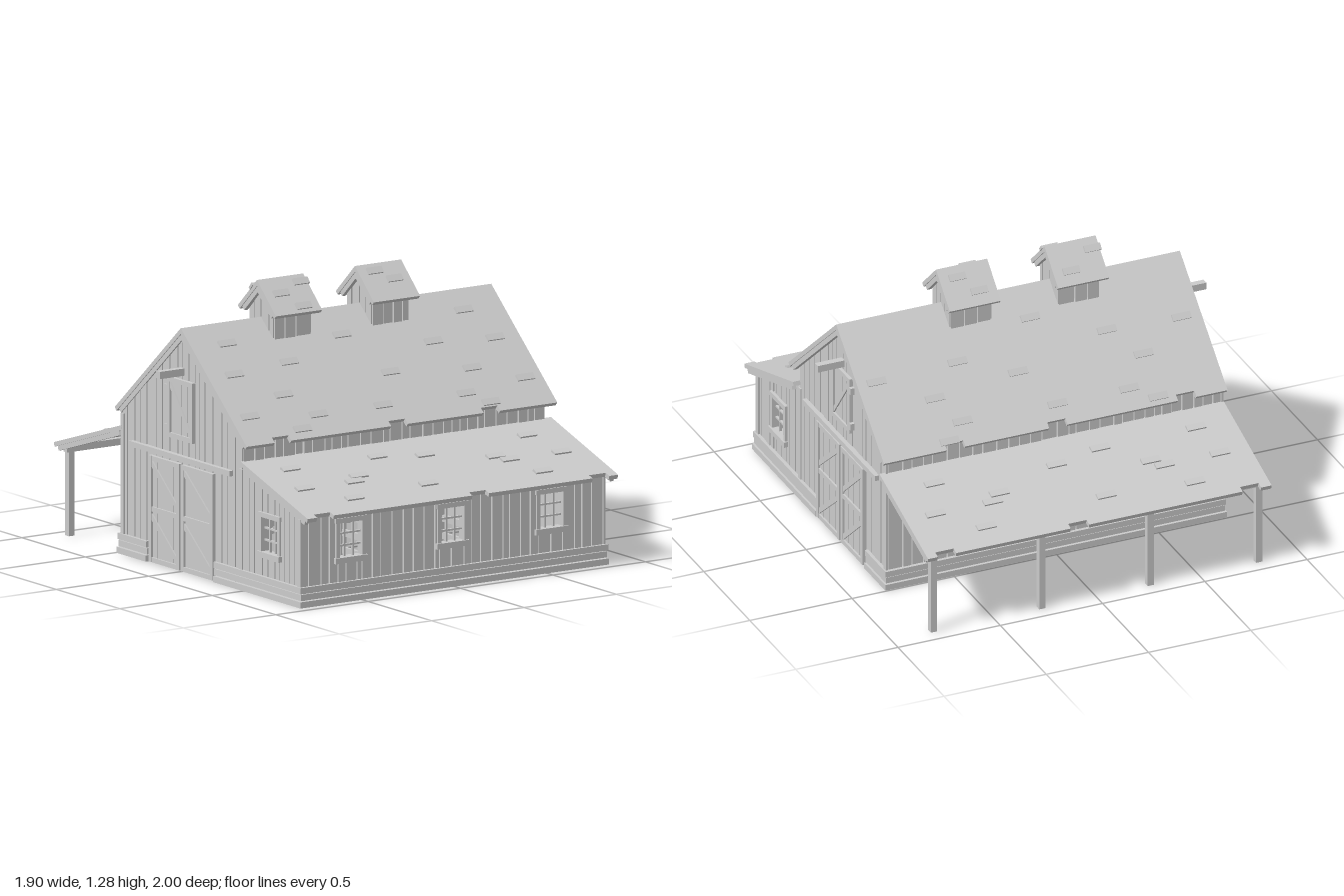
import * as THREE from 'three';
import { mergeGeometries } from 'three/addons/utils/BufferGeometryUtils.js';

const mat = new THREE.MeshStandardMaterial({ color: 0xcccccc, flatShading: true });
let seed = 7;
const rnd = () => (seed = (seed * 16807) % 2147483647) / 2147483647;

function add(parent, name, geo) {
  const m = new THREE.Mesh(geo, mat);
  m.name = name;
  parent.add(m);
  return m;
}

// Polygon in a wall plane, (x,y) for axis 'z' or (z,y) for axis 'x', solid from lo to hi along the axis
function prism(pts, axis, lo, hi, holes = []) {
  const path = p => p.map(([a, b]) => new THREE.Vector2(a, b));
  const shape = new THREE.Shape(path(pts));
  holes.forEach(h => shape.holes.push(new THREE.Path(path(rect(...h)))));
  const g = new THREE.ExtrudeGeometry(shape, { depth: hi - lo, bevelEnabled: false });
  if (axis === 'z') return g.translate(0, 0, lo);
  return g.rotateY(-Math.PI / 2).translate(hi, 0, 0);
}
const rect = (a0, a1, y0, y1) => [[a0, y0], [a1, y0], [a1, y1], [a0, y1]];

// Face of a wall: shapes stand out from "at" in direction s
const onWall = (axis, s, at) => (pts, o0, o1) =>
  prism(pts, axis, Math.min(at + s * o0, at + s * o1), Math.max(at + s * o0, at + s * o1));

function box(parent, name, x0, x1, y0, y1, z0, z1) {
  return add(parent, name, new THREE.BoxGeometry(x1 - x0, y1 - y0, z1 - z0)
    .translate((x0 + x1) / 2, (y0 + y1) / 2, (z0 + z1) / 2));
}

// Wall of uneven vertical planks over a backing panel; top is a polyline running upwards in a
function plankWall(parent, name, axis, s, at, y0, top, holes = []) {
  const put = onWall(axis, s, at);
  const a0 = top[0][0], a1 = top[top.length - 1][0];
  const height = a => {
    const i = Math.max(1, top.findIndex(p => p[0] >= a));
    const [p, q] = [top[i - 1], top[i]];
    return p[1] + (q[1] - p[1]) * (a - p[0]) / (q[0] - p[0]);
  };
  const fixed = [...top.map(p => p[0]), ...holes.flatMap(h => [h[0], h[1]])].sort((a, b) => a - b);
  const cuts = [a0];
  for (const f of fixed) {
    let c = cuts[cuts.length - 1];
    while (f - c > 0.08) cuts.push(c += 0.035 + rnd() * 0.035);
    if (f - c > 0.01) cuts.push(f);
  }
  const back = [[a0, y0], [a1, y0], ...[...top].reverse()];
  const lo = Math.min(at - s * 0.03, at - s * 0.012);
  const geos = [prism(back, axis, lo, lo + 0.018, holes)];
  for (let i = 1; i < cuts.length; i++) {
    const l = cuts[i - 1] + 0.003, r = cuts[i] - 0.003, mid = (l + r) / 2;
    const out = 0.004 * rnd();
    const h = holes.find(k => mid > k[0] && mid < k[1]);
    if (h) geos.push(put(rect(l, r, y0, h[2]), -0.012, out));
    const b = h ? h[3] : y0;
    geos.push(put([[l, b], [r, b], [r, height(r)], [l, height(l)]], -0.012, out));
  }
  add(parent, name, mergeGeometries(geos));
}

const hole = c => [c - 0.066, c + 0.066, 0.2, 0.365];

// Open window: frame, sill and a grid of glazing bars
function windowFrame(parent, axis, s, at, c) {
  const put = onWall(axis, s, at), [a, b, y0, y1] = hole(c);
  const geos = [
    put(rect(a - 0.015, a + 0.004, y0, y1), -0.03, 0.012),
    put(rect(b - 0.004, b + 0.015, y0, y1), -0.03, 0.012),
    put(rect(a - 0.018, b + 0.018, y1 - 0.004, y1 + 0.018), -0.03, 0.014),
    put(rect(a - 0.022, b + 0.022, y0 - 0.022, y0 + 0.004), -0.03, 0.02),
  ];
  for (const t of [1 / 3, 2 / 3]) {
    const m = a + (b - a) * t, y = y0 + (y1 - y0) * t;
    geos.push(put(rect(m - 0.004, m + 0.004, y0, y1), -0.018, -0.006));
    geos.push(put(rect(a, b, y - 0.004, y + 0.004), -0.018, -0.006));
  }
  add(parent, 'window', mergeGeometries(geos));
}

// Door leaf with border boards, optional middle rail and diagonal braces
function doorLeaf(parent, name, put, a0, a1, y0, y1, rails) {
  const w = 0.022, geos = [put(rect(a0, a1, y0, y1), -0.005, 0.009)];
  geos.push(put(rect(a0, a0 + w, y0, y1), 0.009, 0.019), put(rect(a1 - w, a1, y0, y1), 0.009, 0.019));
  const step = (y1 - y0) / rails;
  for (let i = 0; i <= rails; i++) {
    const y = Math.min(Math.max(y0 + i * step, y0 + w / 2), y1 - w / 2);
    geos.push(put(rect(a0 + w, a1 - w, y - w / 2, y + w / 2), 0.009, 0.018));
    if (i === rails) break;
    const b = y0 + i * step + w, t = y0 + (i + 1) * step - w, l = a0 + w, r = a1 - w;
    geos.push(put([[r, b], [r, b + 0.03], [l, t], [l, t - 0.03]], 0.009, 0.016));
  }
  for (let i = 1; i < 4; i++) {
    const m = a0 + (a1 - a0) * i / 4;
    geos.push(put(rect(m - 0.002, m + 0.002, y0 + w, y1 - w), 0.009, 0.011));
  }
  add(parent, name, mergeGeometries(geos));
}

// Sloped roof half with notched eave, edge boards and a few raised shingles [x, z distance]
function roofHalf(parent, name, s, x0, x1, zTop, yTop, zEave, yEave, notches, shingles, size = 0.09) {
  const holder = new THREE.Group(), g = new THREE.Group();
  holder.name = name;
  if (s < 0) { holder.rotation.y = Math.PI; [x0, x1] = [-x1, -x0]; }
  const run = zEave - zTop, len = Math.hypot(run, yTop - yEave), th = 0.02;
  g.position.set(0, yTop, zTop);
  g.rotation.x = -(Math.PI / 2 - Math.atan2(yTop - yEave, run));
  const pts = [[x1, 0], [x0, 0], [x0, -len]];
  for (const n of notches.map(v => v * s).sort((a, b) => a - b))
    pts.push([n - 0.045, -len], [n - 0.045, -len + 0.03], [n + 0.045, -len + 0.03], [n + 0.045, -len]);
  pts.push([x1, -len]);
  add(g, 'roofPanel', prism(pts, 'z', -th, 0));
  for (const x of [x0 + 0.004, x1 - 0.024]) box(g, 'edgeBoard', x, x + 0.02, -len + 0.02, -0.03, -th - 0.022, -th);
  for (const [x, z] of shingles) {
    const m = box(g, 'shingle', -size / 2, size / 2, -0.016, 0.016, -0.006, 0.007);
    m.position.set(x * s, -(z - zTop) * len / run, 0.003);
    m.rotation.x = 0.12;
  }
  holder.add(g);
  parent.add(holder);
}

export function createModel() {
  const barn = new THREE.Group();
  barn.name = 'barn';
  const W = 0.815, wins = [-0.555, -0.005, 0.53];

  // Long walls
  plankWall(barn, 'frontWall', 'z', 1, 0.935, 0.03, [[-W, 0.42], [W, 0.42]], wins.map(hole));
  plankWall(barn, 'backWall', 'z', -1, -0.475, 0.03, [[-W, 0.665], [W, 0.665]], wins.map(hole));
  plankWall(barn, 'upperFrontWall', 'z', 1, 0.475, 0.54, [[-W, 0.665], [W, 0.665]]);
  for (const x of wins) {
    windowFrame(barn, 'z', 1, 0.935, x);
    windowFrame(barn, 'z', -1, -0.475, x);
  }

  // End walls with sliding doors, loft door and hoist beam
  const gable = [[-0.475, 0.655], [0, 1.075], [0.474, 0.655], [0.476, 0.555], [0.935, 0.41]];
  for (const s of [1, -1]) {
    const end = new THREE.Group();
    end.name = s > 0 ? 'leftEnd' : 'rightEnd';
    barn.add(end);
    const put = onWall('x', s, s * W);
    plankWall(end, 'endWall', 'x', s, s * W, 0, gable, [hole(0.695)]);
    windowFrame(end, 'x', s, s * W, 0.695);
    doorLeaf(end, 'slidingDoor', put, 0.01, 0.26, 0.005, 0.49, 2);
    doorLeaf(end, 'slidingDoor', put, -0.245, -0.005, 0.005, 0.49, 2);
    add(end, 'doorTrack', put(rect(-0.39, 0.4, 0.505, 0.53), 0, 0.024));
    doorLeaf(end, 'loftDoor', put, -0.1, 0.1, 0.6, 0.875, 1);
    for (const y of [0.64, 0.82]) add(end, 'hinge', put(rect(-0.118, -0.1, y - 0.017, y + 0.017), 0, 0.02));
    add(end, 'hoistBeam', put(rect(-0.016, 0.016, 0.895, 0.928), -0.1, 0.135));
    for (const [z, h] of [[0.927, 0.4], [0.466, 0.55], [-0.466, 0.64]])
      add(end, 'cornerBoard', put(rect(z - 0.013, z + 0.013, 0.09, h), 0, 0.01));
    for (let i = 0; i < 3; i++) {
      const y = i * 0.032, o = [0.02, 0.013, 0.017][i];
      add(end, 'sill', put(rect(0.265, 0.935 + o, y, y + 0.028), -0.04, o));
      add(end, 'sill', put(rect(-0.475 - o, -0.265, y, y + 0.028), -0.04, o));
    }
  }

  // Sill beams under the long walls
  for (let i = 0; i < 3; i++) {
    const y = i * 0.032, o = [0.02, 0.013, 0.017][i], x = W + o - 0.002;
    box(barn, 'frontSill', -x, x, y, y + 0.028, 0.895, 0.935 + o);
    box(barn, 'backSill', -x, x, y, y + 0.028, -0.475 - o, -0.435);
  }

  // Main roof and the two lower roofs
  const mainFront = [[-.64, .09], [.64, .09], [-.04, .12], [-.38, .2], [.4, .2], [-.69, .22], [.72, .22], [.1, .3],
    [-.5, .33], [.52, .33], [-.73, .4], [.76, .4], [-.38, .43], [.42, .43], [-.03, .43], [-.5, .48], [.52, .48]];
  const mainBack = [[-.04, .12], [-.73, .23], [-.37, .22], [.36, .22], [.76, .23], [.1, .3], [-.5, .33], [.52, .33],
    [-.38, .44], [-.03, .44], [.43, .43], [-.5, .49], [.52, .49]];
  const low = [[-.5, .89], [.52, .89], [-.08, .86], [-.68, .76], [-.41, .76], [-.36, .72], [.43, .76], [.38, .72],
    [.71, .76], [-.64, .59], [-.17, .59], [.64, .59], [.06, .63]];
  for (const s of [1, -1]) {
    roofHalf(barn, 'mainRoof', s, -0.827, 0.853, 0, 1.11, 0.52, 0.66, [-.63, 0, .5], s > 0 ? mainFront : mainBack);
    roofHalf(barn, 'lowerRoof', s, -0.827, 0.853, 0.47, 0.585, 1, 0.415, [-.73, .11, .76], low);
  }

  // Open porch behind: posts and beam
  box(barn, 'porchBeam', -0.82, 0.82, 0.383, 0.414, -0.935, -0.905);
  for (const x of [-0.795, -0.265, 0.265, 0.795]) box(barn, 'porchPost', x - 0.015, x + 0.015, 0, 0.385, -0.935, -0.905);

  // Inside posts and stall rails
  for (const x of [-0.27, 0.27]) {
    box(barn, 'stallPost', x - 0.016, x + 0.016, 0, 0.56, 0.44, 0.472);
    for (const y of [0.1, 0.18, 0.26]) box(barn, 'stallRail', x - 0.008, x + 0.008, y, y + 0.03, 0.46, 0.91);
  }

  // Roof turrets
  const caps = [
    [-0.29, [[-.33, .065], [-.25, .125], [-.2, .03]], [[-.25, .1], [-.38, .04]]],
    [0.24, [[.2, .03], [.28, .07]], [[.2, .1], [.28, .04]]],
  ];
  for (const [c, front, back] of caps) {
    const t = new THREE.Group();
    t.name = 'roofTurret';
    barn.add(t);
    for (const s of [1, -1]) {
      plankWall(t, 'turretSide', 'z', s, s * 0.097, 1.0, [[c - 0.1, 1.16], [c + 0.1, 1.16]]);
      plankWall(t, 'turretEnd', 'x', s, c + s * 0.1, 1.0, [[-0.097, 1.16], [0, 1.25], [0.097, 1.16]]);
      roofHalf(t, 'turretRoof', s, c - 0.125, c + 0.125, 0, 1.28, 0.15, 1.14, [], s > 0 ? front : back, 0.08);
    }
  }
  return barn;
}
